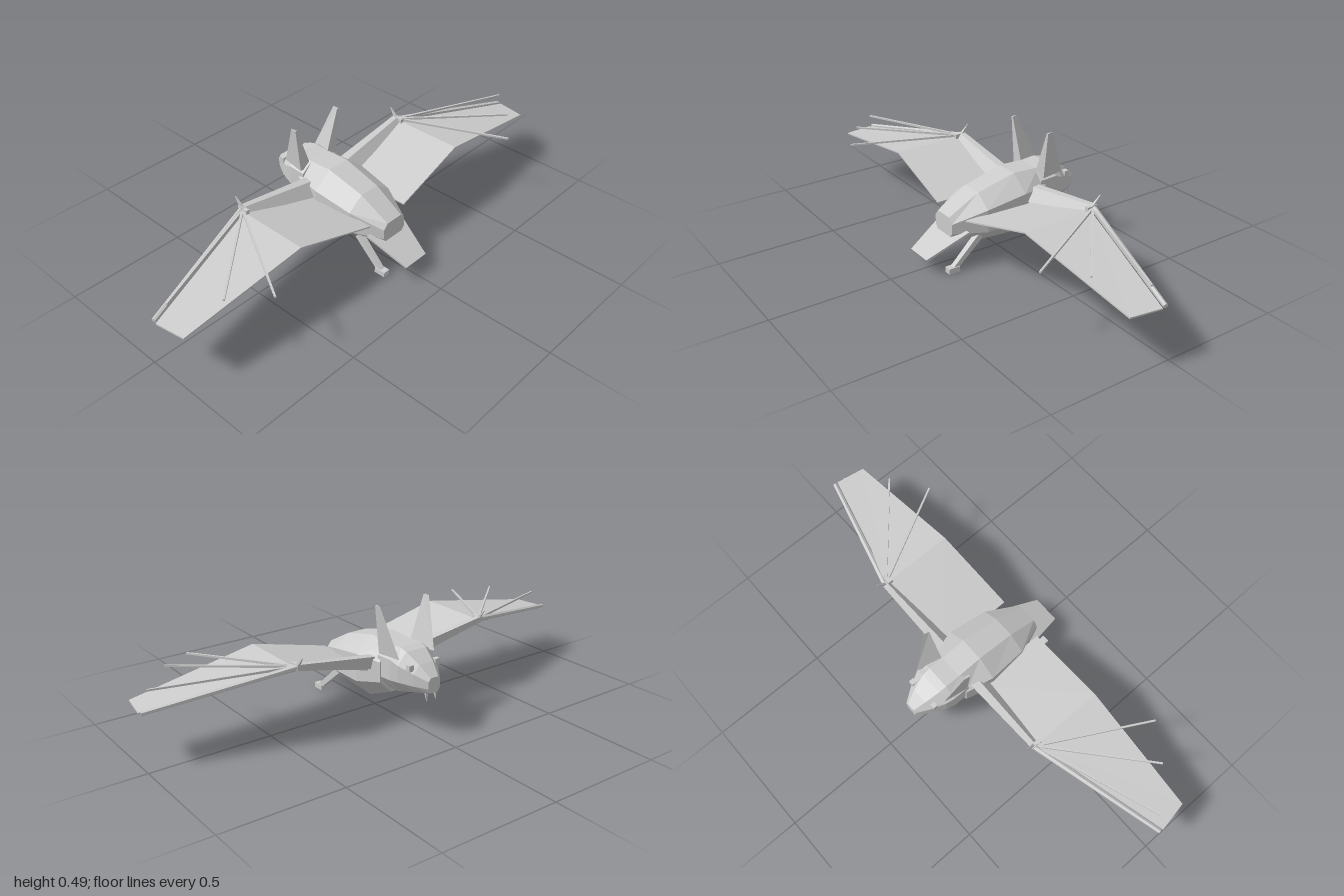
import * as THREE from 'three';

const V = (x, y, z) => new THREE.Vector3(x, y, z);

// Closed faceted solid through rings of points; winding is fixed by its signed volume.
function loft(rings) {
  const tris = [], n = rings[0].length;
  for (let r = 0; r < rings.length - 1; r++) {
    for (let i = 0; i < n; i++) {
      const j = (i + 1) % n, a = rings[r], b = rings[r + 1];
      tris.push([a[i], a[j], b[j]], [a[i], b[j], b[i]]);
    }
  }
  const first = rings[0], last = rings[rings.length - 1];
  for (let i = 1; i < n - 1; i++) {
    tris.push([first[0], first[i + 1], first[i]], [last[0], last[i], last[i + 1]]);
  }
  let volume = 0;
  for (const [a, b, c] of tris) volume += a.dot(b.clone().cross(c));
  const points = tris.flatMap(([a, b, c]) => (volume < 0 ? [a, c, b] : [a, b, c]));
  const geometry = new THREE.BufferGeometry().setFromPoints(points);
  geometry.computeVertexNormals();
  return geometry;
}

// Eight-cornered cross-section: top, upper side, lower side and bottom corners.
function octagon([z, topW, topY, sideW, upperY, lowerY, bottomW, bottomY]) {
  const half = [[topW, topY], [sideW, upperY], [sideW, lowerY], [bottomW, bottomY]];
  return [
    ...half.map(([x, y]) => V(x, y, z)),
    ...half.reverse().map(([x, y]) => V(-x, y, z)),
  ];
}

// Tapered straight bar between two points.
function strut(a, b, ra, rb, sides = 4) {
  const dir = b.clone().sub(a).normalize();
  const u = dir.clone().cross(V(0, 1, 0)).normalize();
  const v = dir.clone().cross(u);
  const ring = (c, r) => Array.from({ length: sides }, (_, i) => {
    const t = ((i + 0.5) / sides) * Math.PI * 2;
    return c.clone().addScaledVector(u, r * Math.cos(t)).addScaledVector(v, r * Math.sin(t));
  });
  return loft([ring(a, ra), ring(b, rb)]);
}

function box(w, h, d, x, y, z) {
  return new THREE.BoxGeometry(w, h, d).translate(x, y, z);
}

export function createModel() {
  const group = new THREE.Group();
  const grey = new THREE.MeshStandardMaterial({ color: 0xcccccc });
  grey.name = 'grey';

  const add = (name, geometry, parent = group) => {
    const mesh = new THREE.Mesh(geometry, grey);
    mesh.name = name;
    parent.add(mesh);
  };

  // Body and head
  add('body', loft([
    [-0.17, 0.05, 0.322, 0.105, 0.26, 0.178, 0.05, 0.125],
    [-0.05, 0.05, 0.328, 0.13, 0.265, 0.15, 0.06, 0.075],
    [0.12, 0.045, 0.285, 0.115, 0.235, 0.14, 0.055, 0.083],
    [0.253, 0.04, 0.212, 0.06, 0.188, 0.147, 0.04, 0.12],
  ].map(octagon)));
  add('head', loft([
    [-0.15, 0.05, 0.322, 0.1, 0.285, 0.2, 0.06, 0.15],
    [-0.225, 0.05, 0.327, 0.1, 0.288, 0.204, 0.06, 0.15],
    [-0.26, 0.048, 0.318, 0.09, 0.272, 0.204, 0.055, 0.158],
    [-0.32, 0.034, 0.281, 0.06, 0.248, 0.2, 0.04, 0.171],
    [-0.37, 0.018, 0.24, 0.028, 0.226, 0.197, 0.018, 0.178],
  ].map(octagon)));

  // Flat tail membrane
  const tailEdge = (hw, y, z) => [
    V(-hw, y, z), V(hw, y, z), V(hw, y - 0.008, z - 0.005), V(-hw, y - 0.008, z - 0.005),
  ];
  add('tail', loft([tailEdge(0.1, 0.157, 0.2), tailEdge(0.058, 0.069, 0.372)]));

  for (const s of [1, -1]) {
    const side = new THREE.Group();
    side.name = s > 0 ? 'leftSide' : 'rightSide';
    group.add(side);
    const P = (x, y, z) => V(s * x, y, z);
    const part = (name, geometry) => add(name, geometry, side);

    // Head details
    part('ear', loft([
      [P(0.045, 0.295, -0.16), P(0.102, 0.295, -0.16), P(0.085, 0.295, -0.265)],
      [P(0.113, 0.492, -0.162), P(0.122, 0.492, -0.162), P(0.119, 0.494, -0.188)],
    ]));
    part('eye', box(0.022, 0.024, 0.02, s * 0.064, 0.27, -0.302));
    part('fang', strut(P(0.02, 0.195, -0.345), P(0.022, 0.14, -0.354), 0.012, 0.001));

    // Wing membrane: shoulder, wrist and tip edges
    const rib = (x0, z0, x1, z1, y) => [
      P(x0, y, z0), P(x1, y, z1), P(x1, y - 0.006, z1), P(x0, y - 0.006, z0),
    ];
    part('wingMembrane', loft([
      rib(0.1, -0.11, 0.1, 0.216, 0.213),
      rib(0.45, -0.11, 0.45, 0.195, 0.306),
      rib(0.998, 0.045, 0.978, 0.17, 0.218),
    ]));

    // Wing bones
    part('arm', loft([
      [P(0.09, 0.272, -0.138), P(0.09, 0.272, -0.1), P(0.09, 0.217, -0.06), P(0.09, 0.217, -0.125)],
      [P(0.455, 0.325, -0.14), P(0.455, 0.325, -0.118), P(0.455, 0.3, -0.1), P(0.455, 0.3, -0.135)],
    ]));
    part('wrist', box(0.016, 0.022, 0.035, s * 0.447, 0.311, -0.11));
    part('thumbClaw', strut(P(0.445, 0.305, -0.115), P(0.447, 0.356, -0.16), 0.011, 0.002));
    part('leadingBone', strut(P(0.45, 0.311, -0.125), P(0.995, 0.219, 0.03), 0.012, 0.009, 6));
    for (const tip of [P(0.955, 0.287, 0.06), P(0.82, 0.302, 0.2), P(0.68, 0.287, 0.303)]) {
      part('finger', strut(P(0.45, 0.312, -0.12), tip, 0.007, 0.005));
    }

    // Leg and foot
    part('leg', strut(P(0.079, 0.122, 0.14), P(0.086, 0.014, 0.265), 0.018, 0.015));
    part('foot', box(0.03, 0.022, 0.05, s * 0.086, 0.011, 0.27));
  }
  return group;
}
